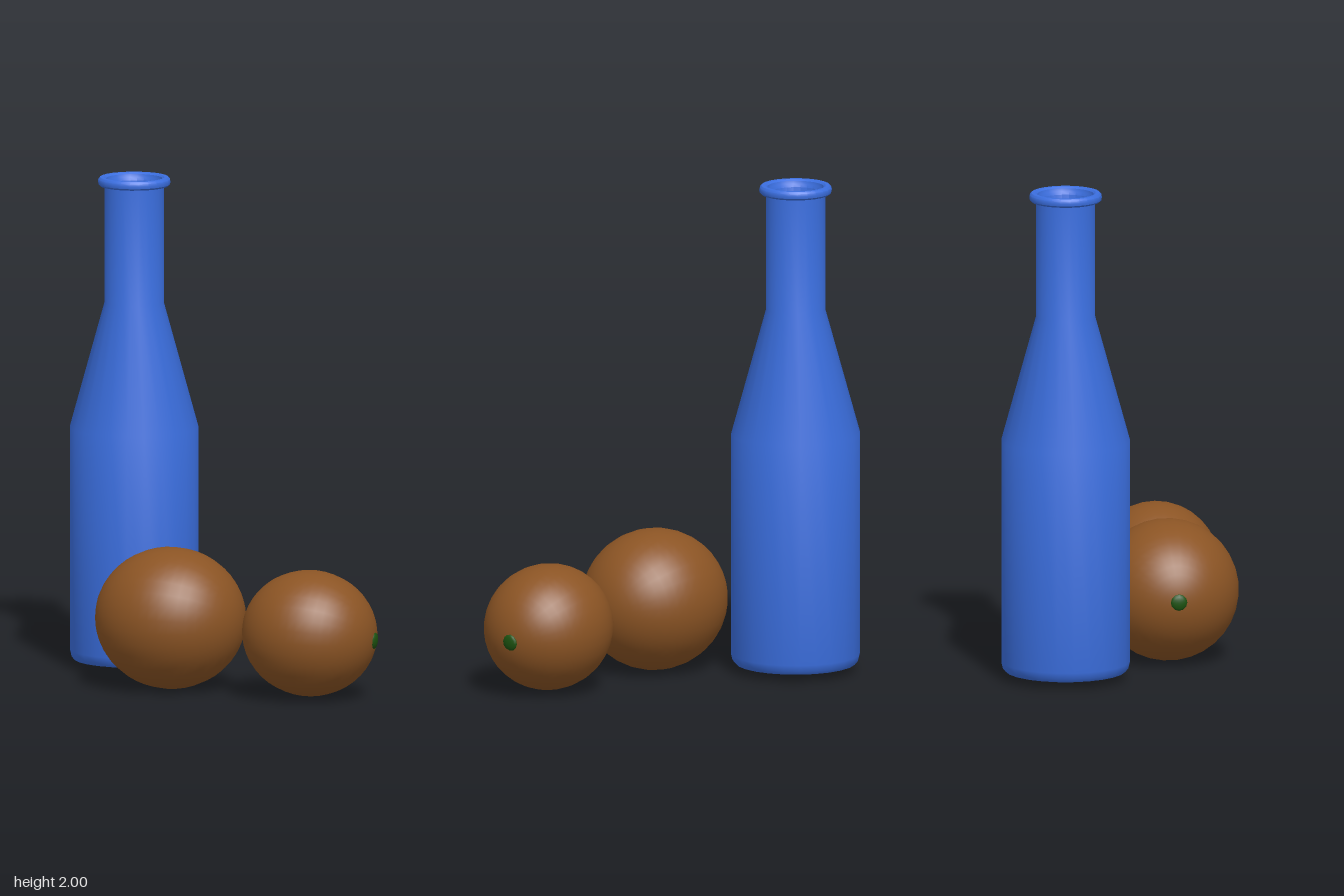
import * as THREE from 'three';
import { toCreasedNormals } from 'three/addons/utils/BufferGeometryUtils.js';

const material = (name, color) => {
  const m = new THREE.MeshStandardMaterial({ color });
  m.name = name;
  return m;
};

export function createModel() {
  const glassBlue = material('glass blue', 0x3b6fe0);
  const liquidBlue = material('liquid blue', 0x0b0bb4);
  const fruitBrown = material('fruit brown', 0x8b5424);
  const stemGreen = material('stem green', 0x1c5210);

  const model = new THREE.Group();
  model.name = 'bottleAndFruit';

  const add = (parent, name, geometry, mat) => {
    const mesh = new THREE.Mesh(geometry, mat);
    mesh.name = name;
    parent.add(mesh);
    return mesh;
  };
  const lathe = (points) => toCreasedNormals(
    new THREE.LatheGeometry(points.map(([r, y]) => new THREE.Vector2(r, y)), 24),
    THREE.MathUtils.degToRad(32)
  );

  // Bottle: outer wall, rounded lip, then the inner wall down to the floor
  const bottle = new THREE.Group();
  bottle.name = 'bottle';
  bottle.position.set(-0.296, 0, -0.45);
  model.add(bottle);
  add(bottle, 'glass', lathe([
    [0, 0.035], [0.243, 0.035], [0.255, 0.05], [0.261, 0.075],
    [0.261, 0.98], [0.12, 1.49], [0.12, 1.965],
    [0.138, 1.965], [0.145, 1.972], [0.147, 1.982], [0.145, 1.992], [0.138, 2],
    [0.122, 2], [0.114, 1.994], [0.111, 1.982], [0.104, 1.97],
    [0.104, 1.485], [0.245, 0.975], [0.245, 0.08], [0, 0.08],
  ]), glassBlue);

  // Liquid filling the bottle up to the shoulder
  add(bottle, 'liquid', lathe([
    [0, 0.09], [0.238, 0.09], [0.238, 0.97], [0.17, 1.22], [0, 1.22],
  ]), liquidBlue);

  // Fruit: a sphere stretched along its stem axis, with a small stem button
  const addFruit = (name, position, axis, length, radius) => {
    const fruit = new THREE.Group();
    fruit.name = name;
    fruit.position.set(...position);
    fruit.quaternion.setFromUnitVectors(
      new THREE.Vector3(0, 1, 0), new THREE.Vector3(...axis).normalize());
    model.add(fruit);
    add(fruit, 'fruitBody', new THREE.SphereGeometry(1, 32, 24), fruitBrown)
      .scale.set(radius, length, radius);
    const stem = add(fruit, 'stem', new THREE.SphereGeometry(1, 12, 8), stemGreen);
    stem.scale.set(0.034, 0.013, 0.034);
    stem.position.y = length - 0.003;
  };
  addFruit('largeFruit', [-0.233, 0.288, 0.116], [-0.877, 0.02, -0.48], 0.307, 0.287);
  addFruit('smallFruit', [0.283, 0.266, 0.453], [0.25, -0.02, 0.112], 0.274, 0.255);

  return model;
}
